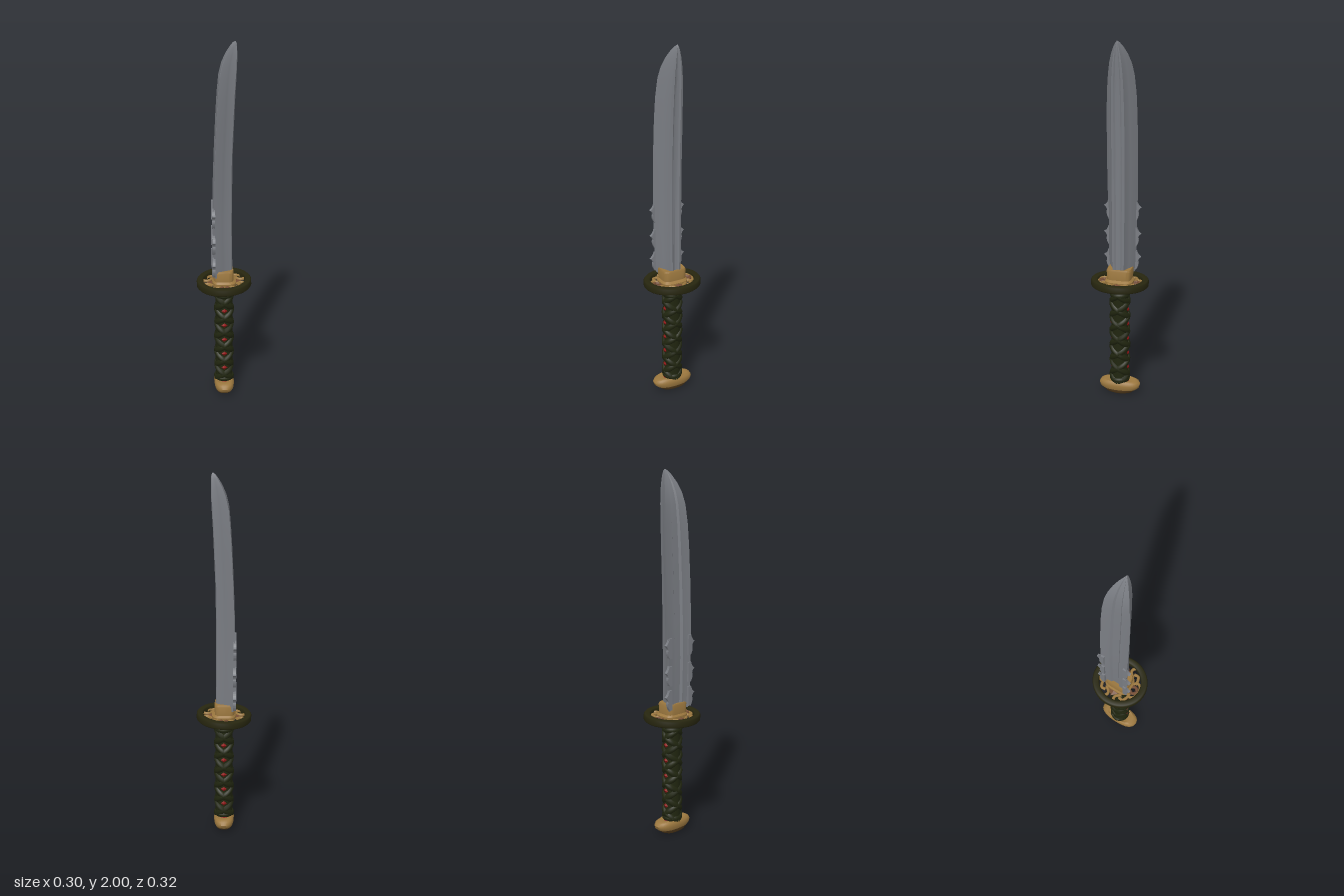
import * as THREE from 'three';
import { toCreasedNormals } from 'three/addons/utils/BufferGeometryUtils.js';

const mat = (name, color) => Object.assign(new THREE.MeshStandardMaterial({ color }), { name });

// Skin a stack of rings; each ring is a list of [x, y, z] running from +x towards +z.
function loft(rings, crease = 0.5) {
  const n = rings[0].length, index = [];
  for (let i = 0; i < rings.length - 1; i++) {
    for (let j = 0; j < n; j++) {
      const a = i * n + j, b = i * n + (j + 1) % n, c = b + n, d = a + n;
      index.push(a, d, b, b, d, c);
    }
  }
  const g = new THREE.BufferGeometry();
  g.setAttribute('position', new THREE.Float32BufferAttribute(rings.flat(2), 3));
  g.setIndex(index);
  return toCreasedNormals(g, crease);
}

// Rounded ring: p = 1 is an ellipse, smaller p is squarer.
function oval(y, cx, rx, rz, p = 1, n = 32) {
  return Array.from({ length: n }, (_, j) => {
    const t = j / n * Math.PI * 2, c = Math.cos(t), s = Math.sin(t);
    return [cx + rx * Math.sign(c) * Math.abs(c) ** p, y, rz * Math.sign(s) * Math.abs(s) ** p];
  });
}

export function createModel() {
  const root = new THREE.Group();
  root.name = 'sword';
  const steel = mat('steel', 0x7a7d83), gold = mat('gold', 0x9c783f), bronze = mat('bronze', 0x59401f);
  const copper = mat('copper', 0x744c33), olive = mat('darkOlive', 0x27260f);
  const cloth = mat('wrapGreen', 0x20250f), red = mat('red', 0x8e1212);
  const add = (name, geo, material, parent = root) => {
    const m = new THREE.Mesh(geo, material);
    m.name = name;
    parent.add(m);
    return m;
  };

  // Blade: half section as [depth from back to ridge, width], mirrored across z
  const half = [[0.9, 0], [0.93, 0.16], [1, 0.26], [0.95, 0.42], [0.62, 0.56], [0.5, 0.66],
    [0.38, 0.76], [0, 1], [0.06, 0.55], [0.06, 0.36], [0.17, 0.24], [0.17, 0]];
  const section = [...half, ...half.slice(1, -1).reverse().map(([u, w]) => [u, -w])];
  // Stations: height, back x, ridge x, half width
  const stations = [[0.72, -0.053, 0.045, 0.07], [0.8, -0.057, 0.044, 0.078], [1.0, -0.062, 0.042, 0.08],
    [1.2, -0.058, 0.042, 0.085], [1.4, -0.051, 0.044, 0.086], [1.6, -0.042, 0.052, 0.084],
    [1.72, -0.035, 0.057, 0.08], [1.82, -0.026, 0.063, 0.071], [1.88, -0.012, 0.066, 0.06],
    [1.93, 0.008, 0.067, 0.044], [1.97, 0.03, 0.066, 0.025], [1.99, 0.043, 0.064, 0.011], [2, 0.055, 0.058, 0.001]];
  add('blade', loft(stations.map(([y, xl, xr, w]) =>
    section.map(([u, v]) => [xl + (xr - xl) * u, y, w * v])), 0.45), steel);

  // Hooked barbs low on both blade edges
  for (const y of [0.8, 0.935, 1.085]) {
    const s = new THREE.Shape();
    s.moveTo(0.06, y - 0.07);
    s.lineTo(0.077, y - 0.07);
    s.quadraticCurveTo(0.096, y - 0.04, 0.087, y - 0.02);
    s.quadraticCurveTo(0.09, y - 0.005, 0.104, y + 0.005);
    s.quadraticCurveTo(0.088, y + 0.01, 0.079, y + 0.04);
    s.lineTo(0.06, y + 0.04);
    for (const side of [1, -1]) {
      const g = new THREE.ExtrudeGeometry(s, { depth: 0.016, bevelEnabled: false, curveSegments: 5 });
      g.rotateY(-side * Math.PI / 2);
      g.translate(side > 0 ? -0.051 : -0.067, 0, 0);
      add('barb', g, steel);
    }
  }

  // Collar holding the blade
  add('collar', loft([oval(0.6, 0, 0.036, 0.034, 0.6), oval(0.655, 0, 0.042, 0.04, 0.6),
    oval(0.665, 0, 0.066, 0.076, 0.6), oval(0.685, 0, 0.066, 0.078, 0.6), oval(0.695, -0.004, 0.054, 0.067, 0.45),
    oval(0.745, -0.004, 0.055, 0.069, 0.45), oval(0.755, -0.004, 0.051, 0.065, 0.45),
    oval(0.748, -0.004, 0.001, 0.001)]), gold);

  // Guard: oval ring with openwork inside, tilted slightly
  const guard = new THREE.Group();
  guard.name = 'guard';
  guard.position.y = 0.67;
  guard.rotation.z = 0.04;
  root.add(guard);
  const rim = [[-0.018, -0.013], [-0.012, -0.02], [0.012, -0.02], [0.018, -0.013],
    [0.018, 0.013], [0.012, 0.02], [-0.012, 0.02], [-0.018, 0.013], [-0.018, -0.013]];
  const ring = new THREE.LatheGeometry(rim.map(([r, y]) => new THREE.Vector2(0.132 + r, y)), 56);
  ring.scale(1, 1, 1.06);
  add('guardRing', ring, olive, guard);
  const arms = [
    ['outerScroll', gold, [[0.03, 0.07], [0.046, 0.092], [0.036, 0.114], [0.0, 0.124]]],
    ['innerScroll', copper, [[0.012, 0.075], [0.02, 0.095], [0.0, 0.116]]],
    ['cornerScroll', gold, [[0.03, 0.085], [0.06, 0.082], [0.082, 0.07], [0.08, 0.045]]],
    ['sideArm', gold, [[0.06, 0.05], [0.084, 0.024], [0.1, 0.022], [0.118, 0.036]]],
  ];
  for (const sx of [1, -1]) for (const sz of [1, -1]) for (const [name, m, pts] of arms) {
    const path = new THREE.CatmullRomCurve3(pts.map(([x, z]) => new THREE.Vector3(x * sx, 0, z * sz)));
    add(name, new THREE.TubeGeometry(path, 12, 0.009, 7), m, guard);
  }
  for (const sx of [1, -1]) {
    const d = add('sideDiamond', new THREE.OctahedronGeometry(1), copper, guard);
    d.scale.set(0.03, 0.01, 0.028);
    d.position.x = sx * 0.066;
  }

  // Grip core
  add('gripCore', new THREE.CylinderGeometry(0.047, 0.047, 0.56, 28).translate(0, 0.34, 0), cloth);
  // Crossing cords: two starts in each direction
  const y0 = 0.07, y1 = 0.6, turns = 3;
  for (const dir of [1, -1]) for (const start of [0, Math.PI]) {
    const pts = Array.from({ length: 73 }, (_, i) => {
      const t = i / 72, a = start + dir * t * turns * Math.PI * 2;
      return new THREE.Vector3(Math.cos(a) * 0.037, y0 + (y1 - y0) * t, Math.sin(a) * 0.04);
    });
    add('gripCord', new THREE.TubeGeometry(new THREE.CatmullRomCurve3(pts), 140, 0.019, 8), cloth);
  }
  // Bands closing the wrap at both ends
  for (const y of [0.085, 0.6]) {
    add('gripBand', new THREE.TorusGeometry(0.041, 0.016, 8, 28).rotateX(Math.PI / 2).translate(0, y, 0), cloth);
  }
  // Red diamonds in the gaps of the wrap
  const step = (y1 - y0) / (turns * 2);
  for (let k = 0; k < turns * 2; k++) for (const side of [1, -1]) {
    const d = add('gripDiamond', new THREE.OctahedronGeometry(1), red);
    d.scale.set(0.017, 0.015, 0.008);
    d.position.set(0, y0 + step * k, side * 0.046);
  }

  // Pommel: wide cap with a darker underside
  add('pommelBase', loft([oval(0, 0, 0.001, 0.001, 0.8), oval(0, 0, 0.036, 0.055, 0.8),
    oval(0.008, 0, 0.046, 0.075, 0.8), oval(0.026, 0, 0.051, 0.1, 0.8)], 0.8), bronze);
  add('pommelCap', loft([oval(0.026, 0, 0.051, 0.1, 0.8), oval(0.036, 0, 0.054, 0.112, 0.8),
    oval(0.053, 0, 0.056, 0.117, 0.8), oval(0.068, 0, 0.053, 0.108, 0.8), oval(0.076, 0, 0.046, 0.088, 0.8),
    oval(0.07, 0, 0.04, 0.06, 0.8), oval(0.07, 0, 0.001, 0.001, 0.8)], 0.8), gold);

  return root;
}
